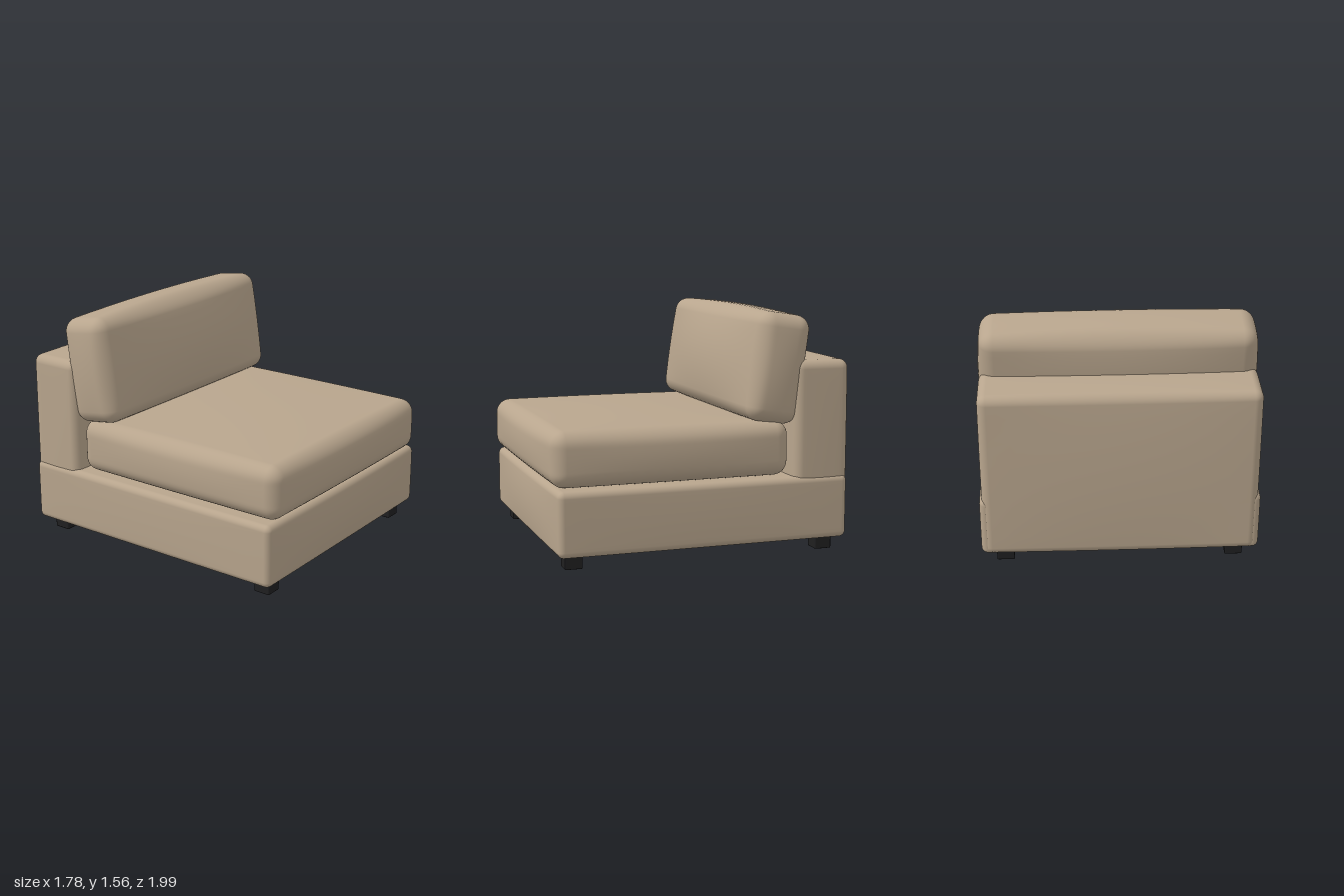
import * as THREE from 'three';
import { mergeVertices } from 'three/addons/utils/BufferGeometryUtils.js';
import { RoundedBoxGeometry } from 'three/addons/geometries/RoundedBoxGeometry.js';

// Padded block: a box with rounded edges whose faces swell towards their middles.
// bulge = [x, +y, -y, +z, -z] swelling of each side
function paddedBox(w, h, d, r, bulge) {
  const n = 20, k = 0.6;
  const half = [w / 2, h / 2, d / 2];
  const geo = new THREE.BoxGeometry(2, 2, 2, n, n, n);
  const pos = geo.attributes.position;
  // gather grid lines in the rounded edges
  const spread = (t, s) => {
    const a = Math.abs(t), flat = s - r;
    const c = a <= k ? (a / k) * flat : flat + r * Math.tan(((a - k) / (1 - k)) * Math.PI / 4);
    return Math.sign(t) * c;
  };
  const p = new THREE.Vector3(), inner = new THREE.Vector3();
  for (let i = 0; i < pos.count; i++) {
    p.set(spread(pos.getX(i), half[0]), spread(pos.getY(i), half[1]), spread(pos.getZ(i), half[2]));
    inner.set(
      THREE.MathUtils.clamp(p.x, r - half[0], half[0] - r),
      THREE.MathUtils.clamp(p.y, r - half[1], half[1] - r),
      THREE.MathUtils.clamp(p.z, r - half[2], half[2] - r));
    p.sub(inner).setLength(r).add(inner);
    const u = p.x / half[0], v = p.y / half[1], q = p.z / half[2];
    const dome = (a, b) => (1 - a * a) * (1 - b * b);
    pos.setXYZ(i,
      p.x + u * bulge[0] * dome(v, q),
      p.y + v * (v > 0 ? bulge[1] : bulge[2]) * dome(u, q),
      p.z + q * (q > 0 ? bulge[3] : bulge[4]) * dome(u, v));
  }
  geo.deleteAttribute('normal');
  geo.deleteAttribute('uv');
  const smooth = mergeVertices(geo, 1e-4);
  smooth.computeVertexNormals();
  return smooth;
}

export function createModel() {
  const fabric = new THREE.MeshStandardMaterial({ color: 0xb8a58d });
  fabric.name = 'tanFabric';
  const black = new THREE.MeshStandardMaterial({ color: 0x1f1f20 });
  black.name = 'blackFeet';

  const model = new THREE.Group();
  model.name = 'armlessSofaSeat';
  const add = (name, geo, mat, x, y, z) => {
    const mesh = new THREE.Mesh(geo, mat);
    mesh.name = name;
    mesh.position.set(x, y, z);
    model.add(mesh);
    return mesh;
  };

  // Upholstered base and upright back
  add('base', paddedBox(1.77, 0.41, 1.91, 0.04, [0.005, 0, 0.005, 0.02, 0]), fabric, 0, 0.295, -0.01);
  add('backrest', paddedBox(1.735, 1.15, 0.37, 0.055, [0.005, 0.015, 0.02, 0.015, 0.02]), fabric, 0, 0.665, -0.79);

  // Loose cushions
  add('seatCushion', paddedBox(1.7, 0.35, 1.55, 0.09, [0.022, 0.027, 0.005, 0.028, 0.01]), fabric, 0, 0.682, 0.195);
  const backCushion = add('backCushion', paddedBox(1.7, 0.69, 0.345, 0.085, [0.025, 0.025, 0.005, 0.06, 0.04]),
    fabric, 0, 1.19, -0.51);
  backCushion.rotation.x = -0.15;

  // Four short feet
  const footGeo = new RoundedBoxGeometry(0.113, 0.1, 0.113, 2, 0.008);
  for (const x of [-0.735, 0.735])
    for (const z of [-0.843, 0.828]) add('foot', footGeo, black, x, 0.05, z);

  return model;
}
